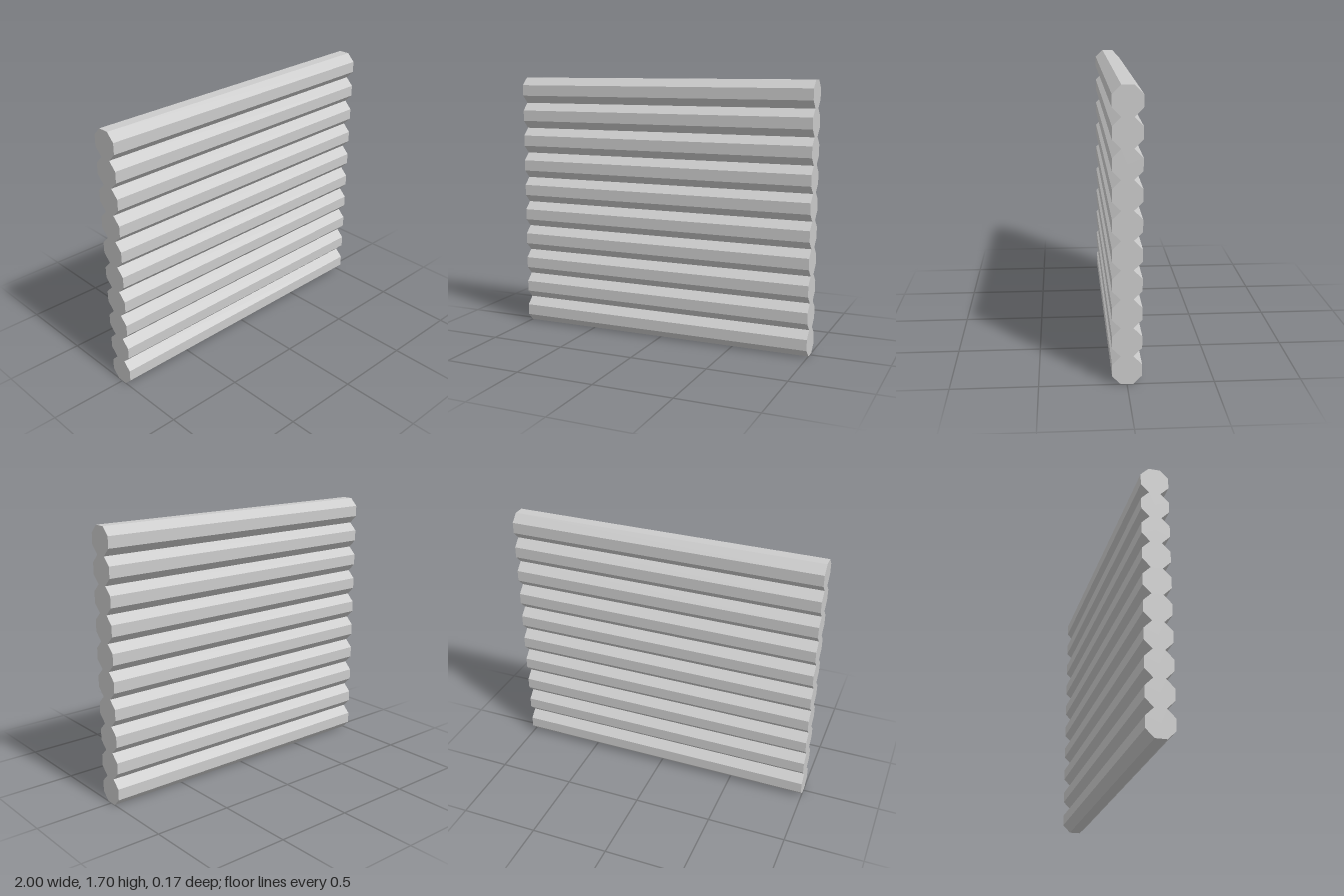
import * as THREE from 'three';

const LOGS = 10;
const LENGTH = 2;
const THICKNESS = 0.17; // across the flats of each octagonal log

export function createModel() {
  const group = new THREE.Group();
  group.name = 'logWall';
  const material = new THREE.MeshStandardMaterial({ color: 0xcccccc, flatShading: true });

  // Octagonal log lying along x, flat sides up, down, front and back
  const radius = THICKNESS / 2 / Math.cos(Math.PI / 8);
  const logGeometry = new THREE.CylinderGeometry(radius, radius, LENGTH, 8)
    .rotateY(Math.PI / 8)
    .rotateZ(Math.PI / 2);

  // Stack of logs, each resting on the flat of the one below
  for (let i = 0; i < LOGS; i++) {
    const log = new THREE.Mesh(logGeometry, material);
    log.name = `log${i + 1}`;
    log.position.y = (i + 0.5) * THICKNESS;
    group.add(log);
  }
  return group;
}
